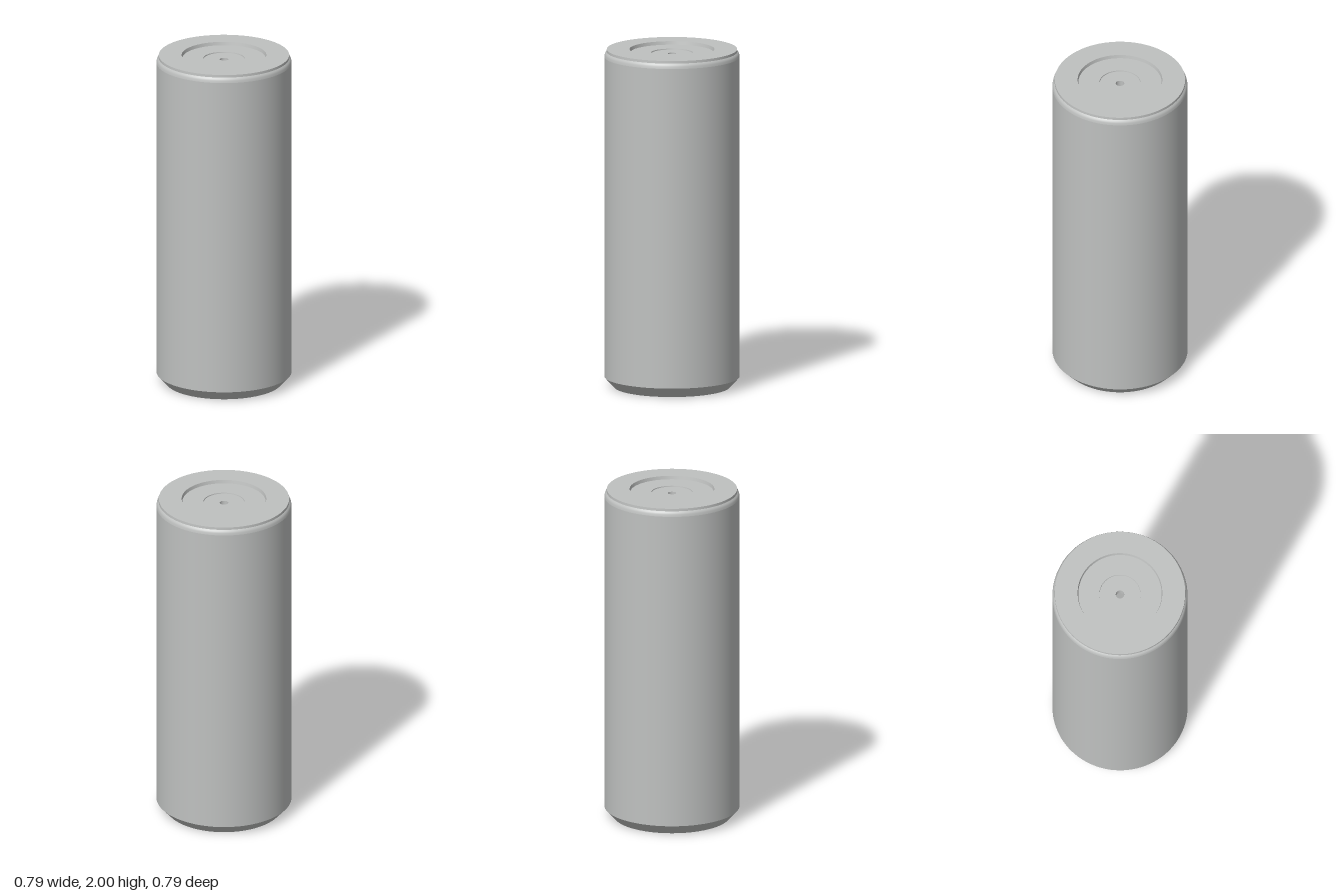
import * as THREE from 'three';

export function createModel() {
  const model = new THREE.Group();
  model.name = 'hollowCylinder';
  const grey = new THREE.MeshStandardMaterial({ color: 0xbfc1c0 });
  grey.name = 'plain grey';

  // Revolves a profile of [radius, height] points; separate bands keep crisp edges between them
  function band(name, points) {
    const profile = points.map(([r, y]) => new THREE.Vector2(r, y));
    const mesh = new THREE.Mesh(new THREE.LatheGeometry(profile, 96), grey);
    mesh.name = name;
    model.add(mesh);
  }

  // Outside, from the foot up
  band('bottomChamfer', [[0.339, 0], [0.394, 0.06]]);
  band('outerWall', [[0.394, 0.06], [0.394, 1.955]]);
  band('topShoulder', [[0.394, 1.955], [0.392, 1.968], [0.388, 1.978], [0.381, 1.985]]);
  band('topRim', [[0.381, 1.985], [0.38, 2]]);

  // Top face with a shallow two-step recess and a central through hole
  band('topFace', [[0.38, 2], [0.247, 2]]);
  band('recessWall', [[0.247, 2], [0.243, 1.98]]);
  band('recessFloor', [[0.243, 1.98], [0.12, 1.98]]);
  band('innerStep', [[0.12, 1.98], [0.119, 1.974]]);
  band('innerFloor', [[0.119, 1.974], [0.025, 1.974]]);
  band('centreHole', [[0.025, 1.974], [0.025, 1.93]]);

  // Open inside
  band('ceiling', [[0.025, 1.93], [0.336, 1.93]]);
  band('innerWall', [[0.336, 1.93], [0.336, 0]]);
  band('bottomLip', [[0.336, 0], [0.339, 0]]);

  return model;
}
